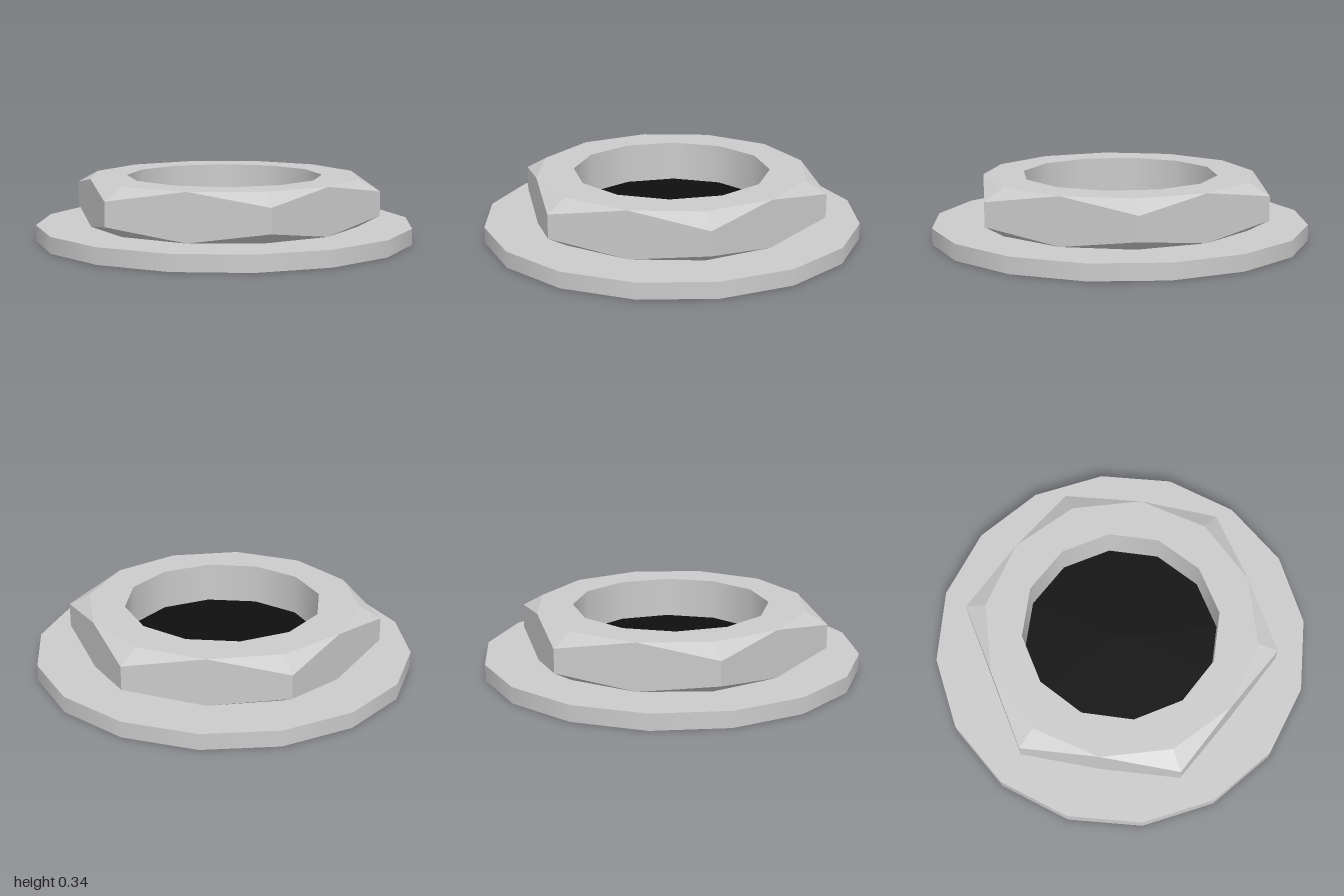
import * as THREE from 'three';

const FLANGE_TOP = 0.085, TOP = 0.335, FLOOR = 0.12;
const ACROSS = 0.72, CORNER = ACROSS / Math.cos(Math.PI / 6), CHAMFER = 0.062;
const BORE = 0.52, BORE_TURN = THREE.MathUtils.degToRad(15.8);

// Point i of a twelve-sided ring: even points are hex corners, odd ones mid-flats
function ringPoint(i, cornerRadius, cornerY, flatY) {
  const a = (i * Math.PI) / 6, even = i % 2 === 0;
  const r = even ? cornerRadius : ACROSS;
  return new THREE.Vector3(r * Math.cos(a), even ? cornerY : flatY, -r * Math.sin(a));
}

// Flats and corner chamfers of the hex body
function hexSides() {
  const rings = [
    [ACROSS, FLANGE_TOP, FLANGE_TOP],
    [CORNER, FLANGE_TOP + CHAMFER, FLANGE_TOP],
    [CORNER, TOP - CHAMFER, TOP],
    [ACROSS, TOP, TOP],
  ];
  const pts = [];
  const tri = (a, b, c) => {
    if (a.distanceTo(b) > 1e-6 && b.distanceTo(c) > 1e-6 && c.distanceTo(a) > 1e-6) pts.push(a, b, c);
  };
  for (let k = 0; k < 3; k++) {
    for (let i = 0; i < 12; i++) {
      const a = ringPoint(i, ...rings[k]), b = ringPoint(i + 1, ...rings[k]);
      const c = ringPoint(i + 1, ...rings[k + 1]), d = ringPoint(i, ...rings[k + 1]);
      tri(a, b, c);
      tri(a, c, d);
    }
  }
  const geo = new THREE.BufferGeometry().setFromPoints(pts);
  geo.computeVertexNormals();
  return geo;
}

// Points of a regular twelve-sided outline
const outline = (r, turn) => Array.from({ length: 12 }, (_, i) => {
  const a = turn + (i * Math.PI) / 6;
  return new THREE.Vector2(r * Math.cos(a), r * Math.sin(a));
});

export function createModel() {
  const group = new THREE.Group();
  group.name = 'flangedHexNut';
  const grey = new THREE.MeshStandardMaterial({ color: 0xcccccc });
  const black = new THREE.MeshStandardMaterial({ color: 0x0f0f0f });
  const add = (name, geo, mat = grey) => {
    const mesh = new THREE.Mesh(geo, mat);
    mesh.name = name;
    group.add(mesh);
  };

  // Round base flange
  add('flange', new THREE.CylinderGeometry(1, 1, FLANGE_TOP, 16).translate(0, FLANGE_TOP / 2, 0));

  // Hex body with chamfered corners
  add('hexSides', hexSides());

  // Top face with the bore cut out
  const face = new THREE.Shape(outline(ACROSS, 0));
  face.holes.push(new THREE.Path(outline(BORE, BORE_TURN)));
  add('hexTop', new THREE.ShapeGeometry(face).rotateX(-Math.PI / 2).translate(0, TOP, 0));

  // Bore wall, facing inwards, and its dark floor
  const wall = [new THREE.Vector2(BORE, TOP), new THREE.Vector2(BORE, FLANGE_TOP)];
  add('boreWall', new THREE.LatheGeometry(wall, 12, BORE_TURN));
  add('boreFloor', new THREE.CircleGeometry(BORE, 12, BORE_TURN)
    .rotateX(-Math.PI / 2).translate(0, FLOOR, 0), black);

  return group;
}
